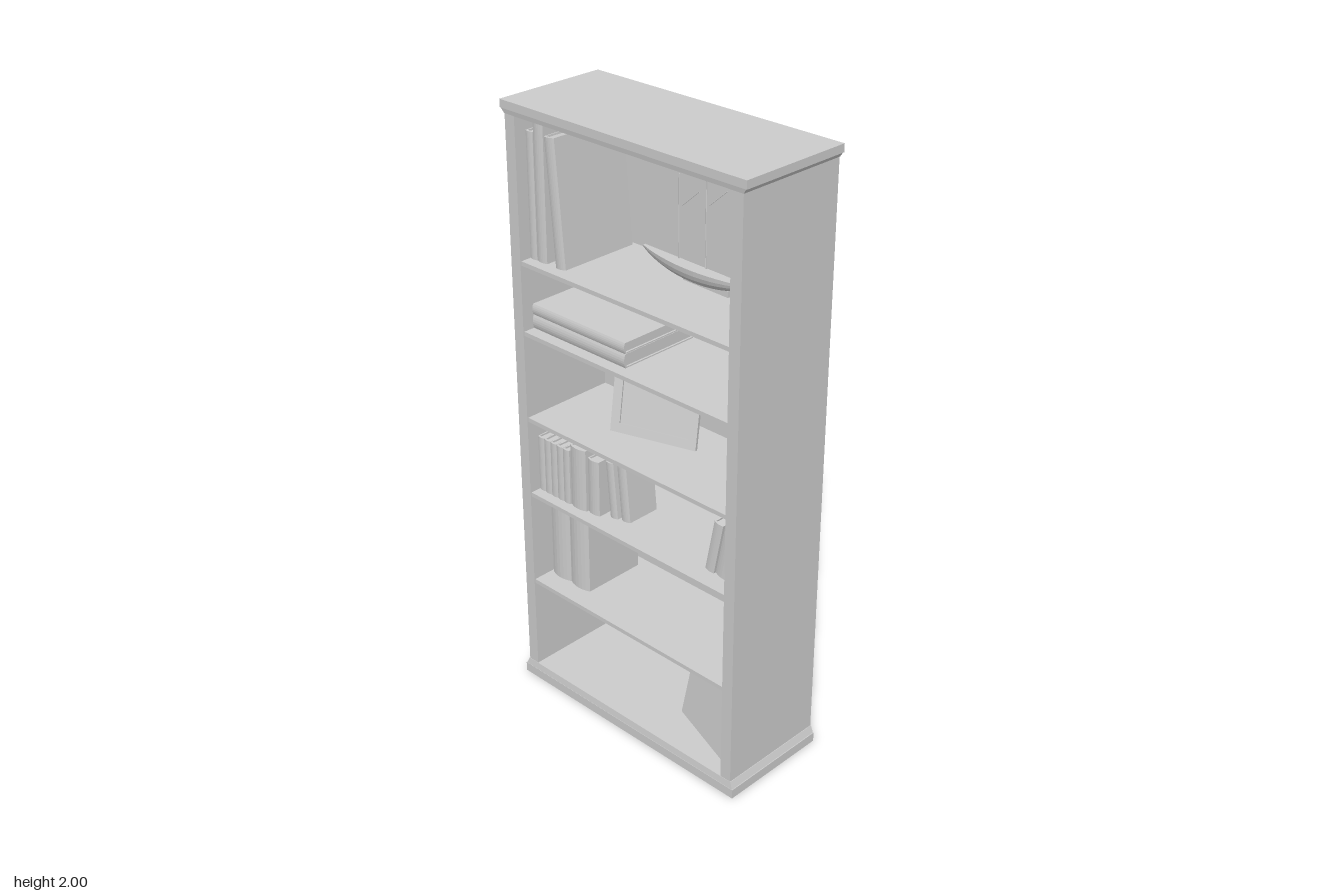
import * as THREE from 'three';

const grey = new THREE.MeshStandardMaterial({ color: 0xcccccc, flatShading: true });
const thin = new THREE.MeshStandardMaterial({ color: 0xcccccc, flatShading: true, side: THREE.DoubleSide });

function add(parent, name, geometry, material = grey) {
  const mesh = new THREE.Mesh(geometry, material);
  mesh.name = name;
  parent.add(mesh);
  return mesh;
}

// Box given by its limits on each axis
function box(parent, name, x0, x1, y0, y1, z0, z1) {
  const mesh = add(parent, name, new THREE.BoxGeometry(x1 - x0, y1 - y0, z1 - z0));
  mesh.position.set((x0 + x1) / 2, (y0 + y1) / 2, (z0 + z1) / 2);
  return mesh;
}

function polygon(points) {
  return new THREE.Shape(points.map(([x, y]) => new THREE.Vector2(x, y)));
}

// Slab with sloped sides: half width and front z at its bottom and top, flat back
function moulding(parent, name, y0, y1, w0, w1, f0, f1, back) {
  const g = new THREE.BoxGeometry(1, 1, 1);
  const p = g.attributes.position;
  for (let i = 0; i < p.count; i++) {
    const up = p.getY(i) > 0;
    p.setXYZ(i, Math.sign(p.getX(i)) * (up ? w1 : w0), up ? y1 : y0, p.getZ(i) > 0 ? (up ? f1 : f0) : back);
  }
  g.computeVertexNormals();
  return add(parent, name, g);
}

// Book standing on its tail: spine at z = 0 facing +z, lower left corner at x = 0
function makeBook(name, w, h, d) {
  const book = new THREE.Group();
  book.name = name;
  const t = Math.min(0.004, w * 0.15);
  const bulge = w * 0.12;
  const s = new THREE.Shape();
  s.moveTo(0, d);
  s.lineTo(0, bulge);
  s.quadraticCurveTo(w / 2, -bulge, w, bulge);
  s.lineTo(w, d);
  s.lineTo(w - t, d);
  s.lineTo(w - t, bulge + t);
  s.lineTo(t, bulge + t);
  s.lineTo(t, d);
  const cover = new THREE.ExtrudeGeometry(s, { depth: h, bevelEnabled: false, curveSegments: 6 });
  cover.rotateX(-Math.PI / 2);
  add(book, 'bookCover', cover);
  box(book, 'pages', t, w - t, 0.006, h - 0.006, -d + 0.006, -bulge - t);
  return book;
}

function placeBook(parent, name, x, y, z, w, h, d, lean = 0) {
  const book = makeBook(name, w, h, d);
  book.position.set(x, y, z);
  book.rotation.z = lean;
  parent.add(book);
  return book;
}

function makeCase() {
  const g = new THREE.Group();
  g.name = 'bookcase';
  const front = 0.188, back = -0.193;
  for (const s of [-1, 1]) {
    const side = box(g, s < 0 ? 'rightPanel' : 'leftPanel', -0.02, 0.02, 0.05, 1.965, back, front);
    side.position.x = s * 0.436;
  }
  box(g, 'backPanel', -0.42, 0.42, 0.05, 1.965, back, -0.148);
  [1.515, 1.285, 0.99, 0.72, 0.39].forEach((y) =>
    box(g, 'shelf', -0.418, 0.418, y - 0.014, y, -0.15, 0.184));
  // Stepped plinth
  moulding(g, 'plinth', 0, 0.032, 0.47, 0.47, 0.193, 0.193, -0.194);
  moulding(g, 'plinthMoulding', 0.032, 0.055, 0.467, 0.458, 0.192, 0.189, -0.194);
  // Cornice and top board
  moulding(g, 'cornice', 1.96, 1.975, 0.457, 0.467, 0.189, 0.192, -0.194);
  moulding(g, 'topBoard', 1.975, 2, 0.47, 0.47, 0.193, 0.193, -0.194);
  return g;
}

function makeShip() {
  const ship = new THREE.Group();
  ship.name = 'modelShip';
  // Hull lofted from half-round sections along its length
  const n = 16, m = 10, pos = [], idx = [];
  for (let i = 0; i <= n; i++) {
    const u = i / n;
    const swell = Math.pow(Math.sin(Math.PI * (0.02 + 0.96 * u)), 0.75);
    const x = -0.145 + 0.43 * u;
    for (let j = 0; j <= m; j++) {
      const a = (Math.PI * j) / m;
      const y = 0.06 - (0.004 + 0.05 * swell) * Math.sin(a);
      pos.push(x, y, 0.042 * swell * Math.cos(a));
    }
  }
  const row = m + 1;
  for (let i = 0; i < n; i++) {
    for (let j = 0; j < m; j++) {
      const a = i * row + j, b = a + row;
      idx.push(a, a + 1, b, b, a + 1, b + 1);
    }
    // Deck strip between the two gunwales
    const a = i * row, b = a + row;
    idx.push(a, b, a + m, b, b + m, a + m);
  }
  const hull = new THREE.BufferGeometry();
  hull.setAttribute('position', new THREE.Float32BufferAttribute(pos, 3));
  hull.setIndex(idx);
  hull.computeVertexNormals();
  add(ship, 'hull', hull, thin);
  box(ship, 'keel', 0.02, 0.2, 0, 0.02, -0.004, 0.004);

  // Masts and gaffs
  for (const [x, top] of [[0, 0.315], [0.108, 0.345]]) {
    const mast = add(ship, 'mast', new THREE.CylinderGeometry(0.002, 0.003, top - 0.05, 6));
    mast.position.set(x, (top + 0.05) / 2, 0);
    const gaff = add(ship, 'gaff', new THREE.CylinderGeometry(0.0015, 0.0015, 0.09, 5));
    gaff.position.set(x + 0.045, top - 0.062, 0);
    gaff.rotation.z = -0.85;
  }
  // Sails
  const sails = {
    jib: [[-0.14, 0.062], [0, 0.062], [0, 0.315]],
    foresail: [[0, 0.062], [0.106, 0.062], [0.106, 0.225], [0.08, 0.285], [0, 0.315]],
    mainsail: [[0.11, 0.062], [0.282, 0.062], [0.185, 0.305], [0.11, 0.345]],
  };
  for (const name in sails) add(ship, name, new THREE.ShapeGeometry(polygon(sails[name])), thin);
  ship.position.set(0, 1.516, -0.055);
  ship.rotation.y = -0.03;
  return ship;
}

// Leaning frame with a recessed picture and a strut behind
function makeFrame() {
  const g = new THREE.Group();
  g.name = 'pictureFrame';
  const w = 0.29, h = 0.212;
  const s = polygon([[-w / 2, 0], [w / 2, 0], [w / 2, h], [-w / 2, h]]);
  s.holes.push(polygon([[-0.115, 0.03], [-0.115, h - 0.03], [0.115, h - 0.03], [0.115, 0.03]]));
  add(g, 'frameBorder', new THREE.ExtrudeGeometry(s, { depth: 0.012, bevelEnabled: false }));
  box(g, 'picture', -0.118, 0.118, 0.028, h - 0.028, 0.001, 0.006);
  const strut = box(g, 'strut', -0.02, 0.02, 0.005, 0.13, -0.003, 0);
  strut.rotation.x = 0.38;
  strut.position.z = -0.026;
  g.rotation.order = 'YXZ';
  g.rotation.set(-0.2, 0.3, 0);
  g.position.set(-0.035, 0.992, 0.015);
  return g;
}

export function createModel() {
  const model = new THREE.Group();
  model.name = 'filledBookcase';
  model.add(makeCase());

  // Top bay: tall books and the ship
  placeBook(model, 'tallBook', -0.416, 1.515, 0.15, 0.029, 0.395, 0.28);
  placeBook(model, 'tallBook', -0.386, 1.515, 0.15, 0.041, 0.425, 0.28);
  placeBook(model, 'leaningTallBook', -0.307, 1.515, 0.15, 0.042, 0.395, 0.28, 0.085);
  model.add(makeShip());

  // Second bay: two books lying flat, spines to the front
  [[1.285, 0.045], [1.331, 0.035]].forEach(([y, t]) => {
    const book = placeBook(model, 'flatBook', -0.022, y, 0.15, t, 0.393, 0.29);
    book.rotation.z = Math.PI / 2;
  });

  model.add(makeFrame());

  // Fourth bay: a row of small books and leaning ones at both ends
  for (let i = 0; i < 5; i++) {
    placeBook(model, 'smallBook', -0.416 + i * 0.0285, 0.72, 0.15, 0.028, 0.192, 0.14);
  }
  placeBook(model, 'smallBook', -0.273, 0.72, 0.15, 0.067, 0.215, 0.15);
  placeBook(model, 'smallBook', -0.203, 0.72, 0.14, 0.048, 0.192, 0.14);
  placeBook(model, 'leaningBook', -0.13, 0.721, 0.115, 0.032, 0.192, 0.12, 0.09);
  placeBook(model, 'leaningBook', -0.092, 0.721, 0.105, 0.038, 0.192, 0.12, 0.09);
  placeBook(model, 'leaningBook', 0.285, 0.73, 0.13, 0.034, 0.18, 0.13, -0.19);
  placeBook(model, 'leaningBook', 0.325, 0.73, 0.13, 0.052, 0.175, 0.13, -0.19);

  // Fifth bay: two large volumes
  for (let i = 0; i < 2; i++) {
    placeBook(model, 'largeBook', -0.408 + i * 0.087, 0.39, 0.12, 0.086, 0.3, 0.23);
  }

  // Bottom bay: wide book leaning back with its cover to the front
  const wide = new THREE.Group();
  wide.name = 'wideBook';
  box(wide, 'frontCover', 0, 0.285, 0, 0.29, -0.004, 0);
  box(wide, 'pages', 0.004, 0.28, 0.005, 0.284, -0.032, -0.004);
  box(wide, 'backCover', 0, 0.285, 0, 0.29, -0.036, -0.032);
  wide.rotation.order = 'YXZ';
  wide.rotation.set(-0.2, -0.34, 0);
  wide.position.set(0.12, 0.065, 0.05);
  model.add(wide);
  return model;
}
